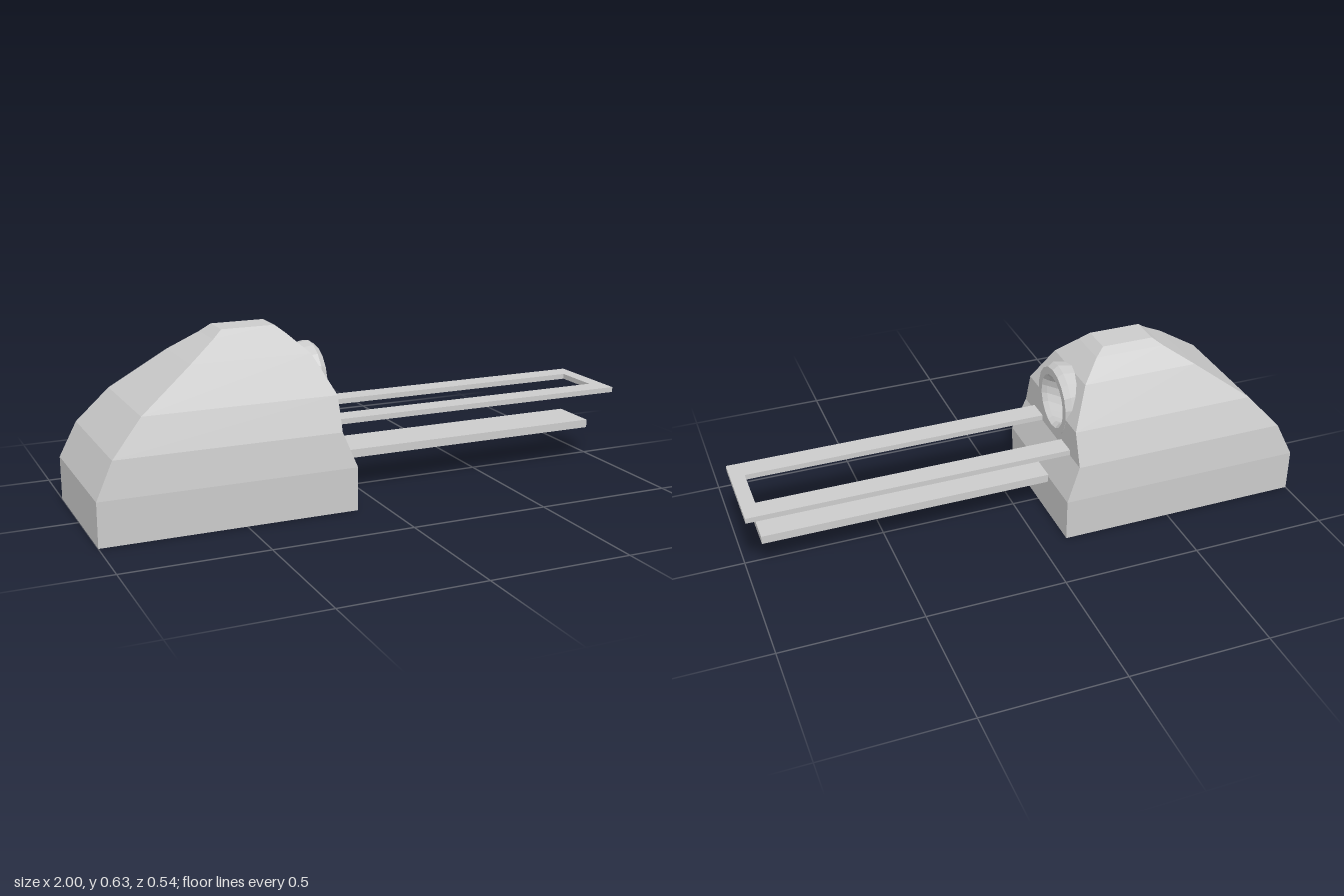
import * as THREE from 'three';

const material = new THREE.MeshStandardMaterial({ color: 0xcccccc, flatShading: true });
const V = (x, y, z) => new THREE.Vector3(x, y, z);

// Skin a list of equal-length closed loops; loops run counter-clockwise seen from the end side.
function loft(loops, { capStart = false, capEnd = false, skip = () => false } = {}) {
  const points = [];
  const n = loops[0].length;
  for (let i = 0; i < loops.length - 1; i++) {
    for (let j = 0; j < n; j++) {
      if (skip(i, j)) continue;
      const k = (j + 1) % n;
      const [a, b, c, d] = [loops[i][j], loops[i][k], loops[i + 1][k], loops[i + 1][j]];
      points.push(a, b, c, a, c, d);
    }
  }
  const first = loops[0], last = loops[loops.length - 1];
  for (let j = 1; j < n - 1; j++) {
    if (capStart) points.push(first[0], first[j + 1], first[j]);
    if (capEnd) points.push(last[0], last[j], last[j + 1]);
  }
  const geometry = new THREE.BufferGeometry().setFromPoints(points);
  geometry.computeVertexNormals();
  return geometry;
}

export function createModel() {
  const group = new THREE.Group();
  const add = (name, geometry) => {
    const mesh = new THREE.Mesh(geometry, material);
    mesh.name = name;
    group.add(mesh);
    return mesh;
  };

  // Body: rectangular sections [y, back x, front x, half width]
  const levels = [
    [0, -1, -0.1, 0.268],
    [0.155, -1, -0.1, 0.27],
    [0.28, -0.94, -0.15, 0.255],
    [0.4, -0.83, -0.15, 0.213],
    [0.535, -0.64, -0.215, 0.137],
    [0.6, -0.54, -0.282, 0.077],
    [0.627, -0.505, -0.315, 0.056],
  ];
  const sections = levels.map(([y, x0, x1, w]) =>
    [V(x1, y, w), V(x1, y, -w), V(x0, y, -w), V(x0, y, w)]);
  add('body', loft(sections, {
    capStart: true,
    capEnd: true,
    skip: (i, j) => j === 0 && (i === 2 || i === 3), // opening for the port panels
  }));

  // Two end panels, each notched by half of the round opening
  const holeY = 0.4, holeR = 0.11;
  const panel = (name, low, high, sign) => {
    const [edge, mid] = sign < 0 ? [low, high] : [high, low];
    const shape = new THREE.Shape();
    shape.moveTo(-edge[3], edge[0]);
    shape.lineTo(edge[3], edge[0]);
    shape.lineTo(mid[3], mid[0]);
    for (let i = 0; i <= 10; i++) {
      const a = (Math.PI * i) / 10;
      shape.lineTo(holeR * Math.cos(a), holeY + sign * holeR * Math.sin(a));
    }
    shape.lineTo(-mid[3], mid[0]);
    const geometry = new THREE.ShapeGeometry(shape).rotateY(Math.PI / 2);
    const p = geometry.attributes.position;
    for (let i = 0; i < p.count; i++) {
      const t = (p.getY(i) - low[0]) / (high[0] - low[0]);
      p.setX(i, low[2] + t * (high[2] - low[2]));
    }
    geometry.computeVertexNormals();
    add(name, geometry);
  };
  panel('lowerEndPanel', levels[2], levels[3], -1);
  panel('upperEndPanel', levels[3], levels[4], 1);

  // Port: ring collar and recessed bore, as circles [x, radius, centre y]
  const circles = [
    [-0.25, 0.122, 0.415],
    [-0.17, 0.136, 0.415],
    [-0.149, 0.125, 0.412],
    [-0.149, 0.099, 0.41],
    [-0.165, 0.086, 0.41],
    [-0.24, 0.09, 0.37],
  ];
  const sides = 18;
  add('portRing', loft(circles.map(([x, r, cy]) =>
    Array.from({ length: sides }, (_, i) => {
      const a = Math.PI / 2 + (i / sides) * Math.PI * 2;
      return V(x, cy + r * Math.sin(a), -r * Math.cos(a));
    })), { capEnd: true }));

  // Upper arm: flat U-shaped frame, open towards the body
  const outline = [[-0.15, -0.168], [1, -0.168], [1, 0.168], [-0.15, 0.168],
    [-0.15, 0.088], [0.95, 0.088], [0.95, -0.088], [-0.15, -0.088]];
  const frame = new THREE.Shape(outline.map(([x, z]) => new THREE.Vector2(x, z)));
  const frameMesh = add('upperFrame',
    new THREE.ExtrudeGeometry(frame, { depth: 0.019, bevelEnabled: false }));
  frameMesh.rotation.x = -Math.PI / 2;
  frameMesh.position.y = 0.282;

  // Lower arm: plain tongue
  add('lowerPlate', new THREE.BoxGeometry(1.055, 0.03, 0.178)).position.set(0.4175, 0.145, 0);

  return group;
}
